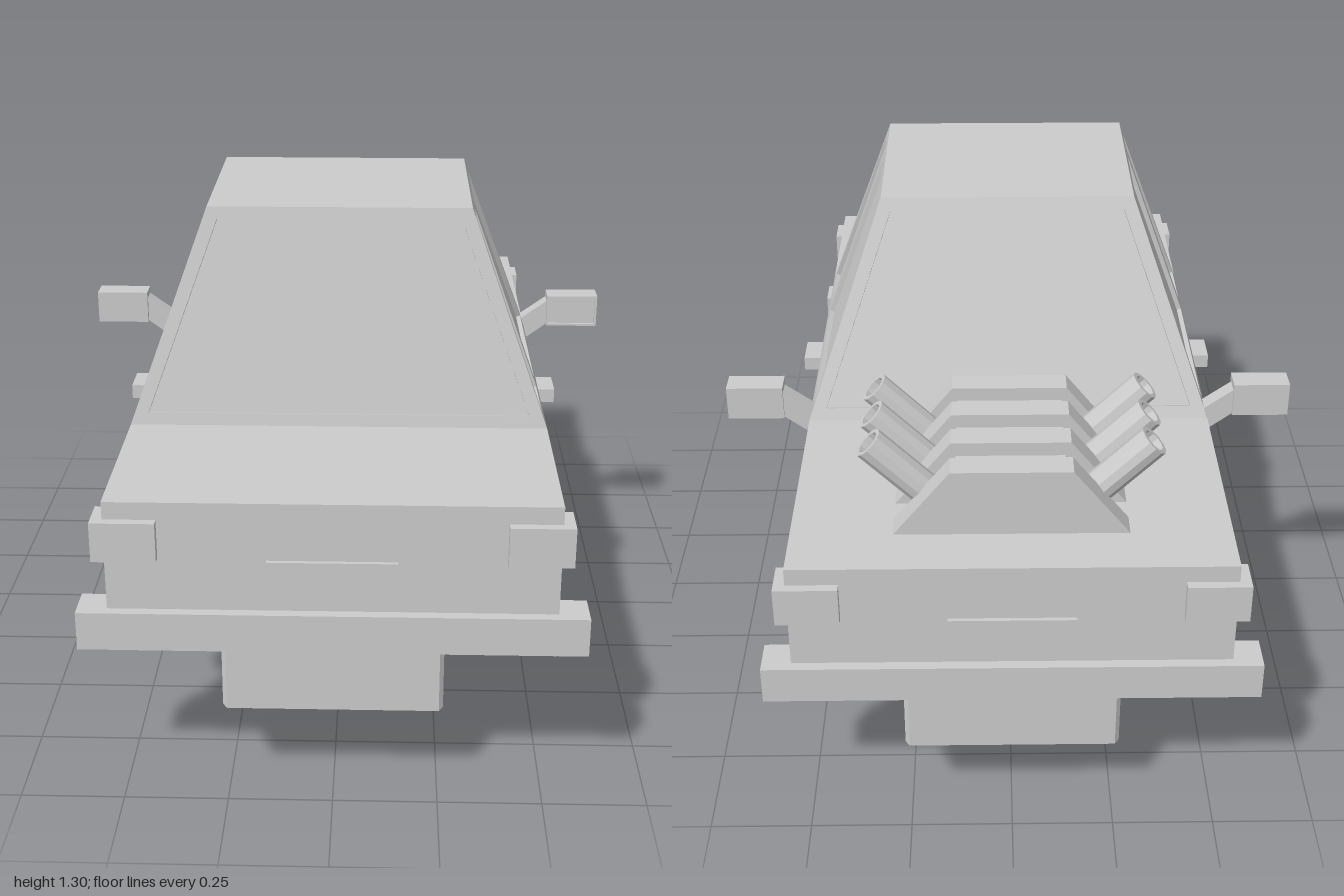
import * as THREE from 'three';

const grey = new THREE.MeshStandardMaterial({ color: 0xcccccc, flatShading: true });

export function createModel() {
  const model = new THREE.Group();

  const add = (name, geo) => {
    const mesh = new THREE.Mesh(geo, grey);
    mesh.name = name;
    model.add(mesh);
    return mesh;
  };
  // Box from its minimum and maximum corners
  const box = (name, x0, x1, y0, y1, z0, z1) =>
    add(name, new THREE.BoxGeometry(x1 - x0, y1 - y0, z1 - z0)
      .translate((x0 + x1) / 2, (y0 + y1) / 2, (z0 + z1) / 2));
  const poly = (pts) => new THREE.Shape(pts.map(([x, y]) => new THREE.Vector2(x, y)));
  const prism = (shape, depth) => new THREE.ExtrudeGeometry(shape, { depth, bevelEnabled: false });

  // Lower hull, boat-shaped in side profile with a fine bevel
  const b = 0.01;
  const hull = new THREE.ExtrudeGeometry(
    poly([[-0.96, 0.38], [-0.96, 0.24], [-0.57, 0.01], [0.57, 0.01], [0.96, 0.24], [0.96, 0.38]]),
    { depth: 0.5, bevelEnabled: true, bevelSegments: 1, bevelSize: b, bevelThickness: b });
  add('hull', hull.translate(0, 0, -0.25).rotateY(Math.PI / 2));

  // Body: a centre block and two sides notched by the wheel arches
  const bottom = 0.39, deck = 0.77, halfLen = 0.975, inner = 0.28, halfWid = 0.52;
  box('bodyCore', -inner, inner, bottom, deck, -halfLen, halfLen);
  const arch = [[-0.22, bottom], [-0.22, 0.53], [-0.135, 0.65], [0, 0.69],
    [0.135, 0.65], [0.22, 0.53], [0.22, bottom]];
  const sideShape = poly([
    [-halfLen, deck], [-halfLen, bottom],
    ...arch.map(([z, y]) => [z - 0.59, y]),
    ...arch.map(([z, y]) => [z + 0.59, y]),
    [halfLen, bottom], [halfLen, deck],
  ]);
  for (const x of [-halfWid, inner]) {
    add('bodySide', prism(sideShape, halfWid - inner).rotateY(Math.PI / 2).translate(x, 0, 0));
  }

  // Upright cylinders inside the arches
  const postProfile = [[0, 0.32], [0.088, 0.32], [0.097, 0.33], [0.097, 0.69], [0, 0.69]]
    .map(([r, y]) => new THREE.Vector2(r, y));
  for (const x of [-0.39, 0.39]) for (const z of [-0.59, 0.59]) {
    add('wheelPost', new THREE.LatheGeometry(postProfile, 16)).position.set(x, 0, z);
  }

  // Cabin: four sloping frames with window openings around a recessed glass core
  const roofY = 1.305, xb = 0.52, xt = 0.325, zf = 0.52, zft = 0.415, zr = -0.325, zrt = -0.11;
  const frame = 0.014;
  const cabinFace = (name, baseL, baseR, topL, topR, windows) => {
    const X = baseR.clone().sub(baseL).normalize();
    const Y = topL.clone().sub(baseL);
    Y.addScaledVector(X, -Y.dot(X)).normalize();
    const Z = X.clone().cross(Y);
    const slope = topL.clone().sub(baseL).dot(Y) / (roofY - deck);
    const local = (p) => [p.clone().sub(baseL).dot(X), p.clone().sub(baseL).dot(Y)];
    const shape = poly([baseL, baseR, topR, topL].map(local));
    // Window corners are given as distance along the base and world height
    for (const w of windows) {
      shape.holes.push(poly(w.map(([u, y]) => [u, (y - deck) * slope])));
    }
    const geo = prism(shape, frame).translate(0, 0, -frame);
    geo.applyMatrix4(new THREE.Matrix4().makeBasis(X, Y, Z).setPosition(baseL));
    add(name, geo);
  };
  const V = (x, y, z) => new THREE.Vector3(x, y, z);
  const wy0 = 0.80, wy1 = 1.275;
  const screen = [[xb - 0.475, wy0], [xb + 0.475, wy0], [xb + 0.30, wy1], [xb - 0.30, wy1]];
  cabinFace('frontWindowFrame', V(-xb, deck, zf), V(xb, deck, zf),
    V(-xt, roofY, zft), V(xt, roofY, zft), [screen]);
  cabinFace('rearWindowFrame', V(xb, deck, zr), V(-xb, deck, zr),
    V(xt, roofY, zrt), V(-xt, roofY, zrt), [screen]);
  const sideWindows = [
    [[0.48, wy0], [0.305, wy0], [0.305, wy1], [0.395, wy1]],
    [[0.24, wy0], [-0.27, wy0], [-0.085, wy1], [0.24, wy1]],
  ];
  cabinFace('leftWindowFrame', V(xb, deck, zf), V(xb, deck, zr), V(xt, roofY, zft), V(xt, roofY, zrt),
    sideWindows.map((w) => w.map(([z, y]) => [zf - z, y])));
  cabinFace('rightWindowFrame', V(-xb, deck, zr), V(-xb, deck, zf), V(-xt, roofY, zrt), V(-xt, roofY, zft),
    sideWindows.map((w) => w.map(([z, y]) => [z - zr, y])));

  // Glass core and roof: boxes whose vertices follow the cabin taper
  const taperedCore = (name, y0, y1, inset) => {
    const geo = new THREE.BoxGeometry(1, 1, 1);
    const p = geo.attributes.position;
    for (let i = 0; i < p.count; i++) {
      const y = p.getY(i) > 0 ? y1 : y0;
      const t = (y - deck) / (roofY - deck);
      const x = THREE.MathUtils.lerp(xb, xt, t) - inset;
      const z = p.getZ(i) > 0 ? THREE.MathUtils.lerp(zf, zft, t) - inset
        : THREE.MathUtils.lerp(zr, zrt, t) + inset;
      p.setXYZ(i, Math.sign(p.getX(i)) * x, y, z);
    }
    geo.computeVertexNormals();
    add(name, geo);
  };
  taperedCore('cabinGlass', deck - 0.01, roofY - 0.01, 0.013);
  taperedCore('roof', roofY - 0.02, roofY, 0);

  // Bumpers, lamps and plates at both ends
  for (const s of [-1, 1]) {
    const end = (name, x0, x1, y0, y1, za, zb) =>
      box(name, x0, x1, y0, y1, Math.min(s * za, s * zb), Math.max(s * za, s * zb));
    end('bumper', -0.59, 0.59, 0.405, 0.50, 0.907, 1);
    end('plate', -0.15, 0.15, 0.53, 0.628, 0.95, 0.985);
    end('lamp', 0.398, 0.547, 0.63, 0.727, 0.907, 0.997);
    end('lamp', -0.547, -0.398, 0.63, 0.727, 0.907, 0.997);
  }

  // Door handles and mirrors
  for (const s of [-1, 1]) {
    const side = (name, xa, xc, ...rest) =>
      box(name, Math.min(s * xa, s * xc), Math.max(s * xa, s * xc), ...rest);
    side('doorHandle', 0.5, 0.572, 0.70, 0.737, 0.07, 0.165);
    side('mirror', 0.585, 0.73, 0.775, 0.865, -0.32, -0.262);
    const rim = poly([[0.585, 0.775], [0.73, 0.775], [0.73, 0.865], [0.585, 0.865]].map(([x, y]) => [s * x, y]));
    rim.holes.push(poly([[0.591, 0.781], [0.724, 0.781], [0.724, 0.859], [0.591, 0.859]].map(([x, y]) => [s * x, y])));
    add('mirrorRim', prism(rim, 0.008).translate(0, 0, -0.262));
    const arm = poly([[0.59, 0.85], [0.50, 0.785], [0.50, 0.745], [0.53, 0.735], [0.59, 0.78]]
      .map(([x, y]) => [s * x, y]));
    add('mirrorArm', prism(arm, 0.046).translate(0, 0, -0.313));
  }

  // Ribbed engine block on the rear deck
  const block = (name, base, top, h, z0, z1) =>
    add(name, prism(poly([[-base, deck - 0.01], [base, deck - 0.01], [top, h], [-top, h]]), z1 - z0)
      .translate(0, 0, z0));
  block('engineCore', 0.25, 0.13, 0.905, -0.83, -0.4);
  const pitch = 0.128;
  for (let i = 0; i < 4; i++) {
    const z = -0.84 + i * pitch;
    block('engineRib', 0.286, 0.143, 0.94, z, z + 0.065);
  }

  // Open exhaust pipes angled outward between the ribs
  const pipeProfile = [[0, 0], [0.04, 0], [0.04, 0.19], [0.029, 0.19], [0.029, 0.04], [0, 0.04]]
    .map(([r, y]) => new THREE.Vector2(r, y));
  for (const s of [-1, 1]) for (let i = 0; i < 3; i++) {
    const pipe = add('exhaustPipe', new THREE.LatheGeometry(pipeProfile, 12));
    pipe.position.set(s * 0.2, 0.83, -0.743 + i * pitch);
    pipe.rotation.z = -s * Math.PI / 4;
  }

  return model;
}
